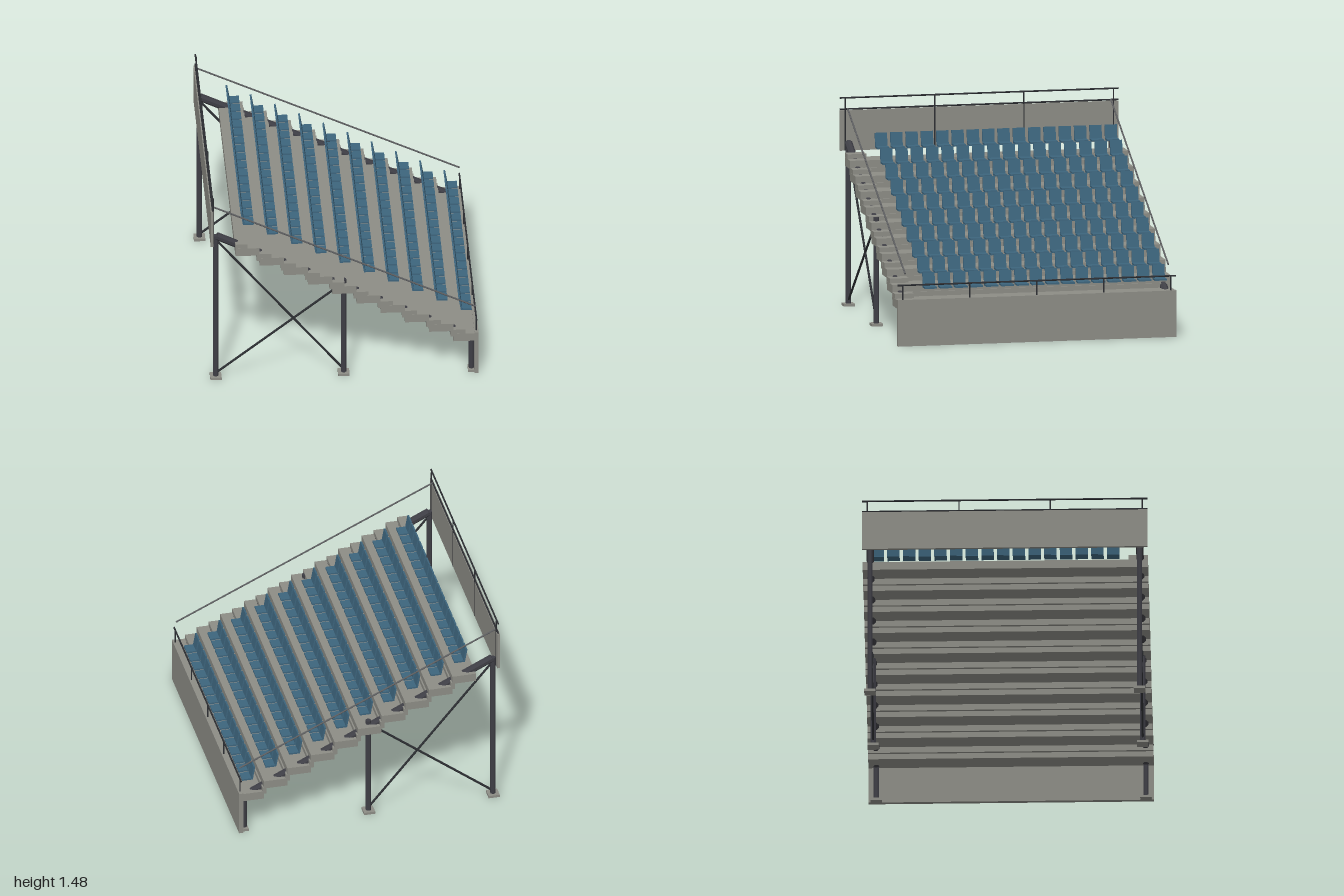
import * as THREE from 'three';

export function createModel() {
  const root = new THREE.Group();
  root.name = 'grandstand';
  const mat = (name, color, flatShading = false) => {
    const m = new THREE.MeshStandardMaterial({ color, flatShading });
    m.name = name;
    return m;
  };
  const concrete = mat('concrete', 0x8c8c85);
  const steel = mat('darkSteel', 0x3e3e45, true);
  const rail = mat('railMetal', 0x2c2e32, true);
  const handrailMetal = mat('handrailMetal', 0x5c5d5f, true);
  const seatBlue = mat('seatBlue', 0x3d657d);

  // box given by its minimum and maximum corners
  function box(name, material, x0, x1, y0, y1, z0, z1, parent = root) {
    const m = new THREE.Mesh(new THREE.BoxGeometry(x1 - x0, y1 - y0, z1 - z0), material);
    m.position.set((x0 + x1) / 2, (y0 + y1) / 2, (z0 + z1) / 2);
    m.name = name;
    parent.add(m);
    return m;
  }
  // round bar between two points
  function bar(name, material, a, b, radius, sides = 8) {
    const p = new THREE.Vector3(...a), q = new THREE.Vector3(...b);
    const d = q.clone().sub(p);
    const g = new THREE.CylinderGeometry(radius, radius, d.length(), sides);
    g.rotateY(Math.PI / sides);
    const m = new THREE.Mesh(g, material);
    m.position.copy(p).add(q).multiplyScalar(0.5);
    m.quaternion.setFromUnitVectors(new THREE.Vector3(0, 1, 0), d.normalize());
    m.name = name;
    root.add(m);
  }

  const rows = 10, run = 0.17, rise = 0.0835;
  const backX = -0.77, topY = 1.077;
  const seatsPerRow = 16, seatPitch = 0.11;

  const panGeo = new THREE.BoxGeometry(0.075, 0.012, 0.087);
  const backGeo = new THREE.BoxGeometry(0.012, 0.102, 0.087);

  for (let i = 0; i < rows; i++) {
    const x = backX + i * run, y = topY - i * rise;
    // stepped terrace and aisle half step
    box('tread', concrete, x, x + run, y - 0.06, y, -1, 1);
    if (i > 0) box('riser', concrete, x - 0.02, x + 0.01, y - 0.02, y + rise - 0.05, -1, 1);
    box('aisleStep', concrete, x, x + run / 2, y - 0.01, y + 0.033, 0.865, 0.999);

    // row of seats
    const row = new THREE.Group();
    row.name = 'seatRow';
    row.position.set(x, y, 0);
    for (let j = 0; j < seatsPerRow; j++) {
      const z = 0.754 - j * seatPitch;
      const pan = new THREE.Mesh(panGeo, seatBlue);
      pan.name = 'seatPan';
      pan.position.set(0.104, 0.077, z);
      const back = new THREE.Mesh(backGeo, seatBlue);
      back.name = 'seatBack';
      back.position.set(0.062, 0.124, z);
      back.rotation.z = 0.17;
      row.add(pan, back);
    }
    root.add(row);
  }

  // front and back parapets
  box('frontWall', concrete, 0.908, 0.938, 0, 0.33, -1, 1);
  box('backWall', concrete, -0.943, -0.923, 1.098, 1.383, -1, 1);

  // parapet rails
  bar('backTopRail', rail, [-0.93, 1.472, -1], [-0.93, 1.472, 1], 0.006);
  bar('backLowerRail', rail, [-0.93, 1.392, -1], [-0.93, 1.392, 1], 0.006);
  for (const z of [-0.963, -0.32, 0.32, 0.963])
    bar('backRailPost', rail, [-0.924, 1.1, z], [-0.924, 1.472, z], 0.005);
  bar('frontTopRail', rail, [0.923, 0.432, -1], [0.923, 0.432, 1], 0.006);
  for (const z of [-0.963, -0.48, 0, 0.48, 0.963])
    bar('frontRailPost', rail, [0.923, 0.32, z], [0.923, 0.432, z], 0.005);

  // supporting frame on each side
  for (const s of [-1, 1]) {
    const z = s * 0.945;
    bar('rakerBeam', steel, [-0.9, 1.155, z], [0.885, 0.278, z], 0.028);
    for (const [x, h, half] of [[-0.905, 1.16, 0.04], [-0.007, 0.77, 0.04], [0.89, 0.29, 0.025]]) {
      bar('column', steel, [x, 0.005, z], [x, h, z], 0.02);
      box('basePlate', concrete, x - half, x + half, 0, 0.018, z - 0.04, z + 0.04);
    }
    bar('crossBrace', rail, [-0.9, 1.12, z], [-0.01, 0.04, z], 0.008);
    bar('crossBrace', rail, [-0.9, 0.04, z], [-0.01, 0.74, z], 0.008);
    bar('slopedHandrail', handrailMetal, [-0.93, 1.395, z], [0.922, 0.513, z], 0.006);
  }
  return root;
}
